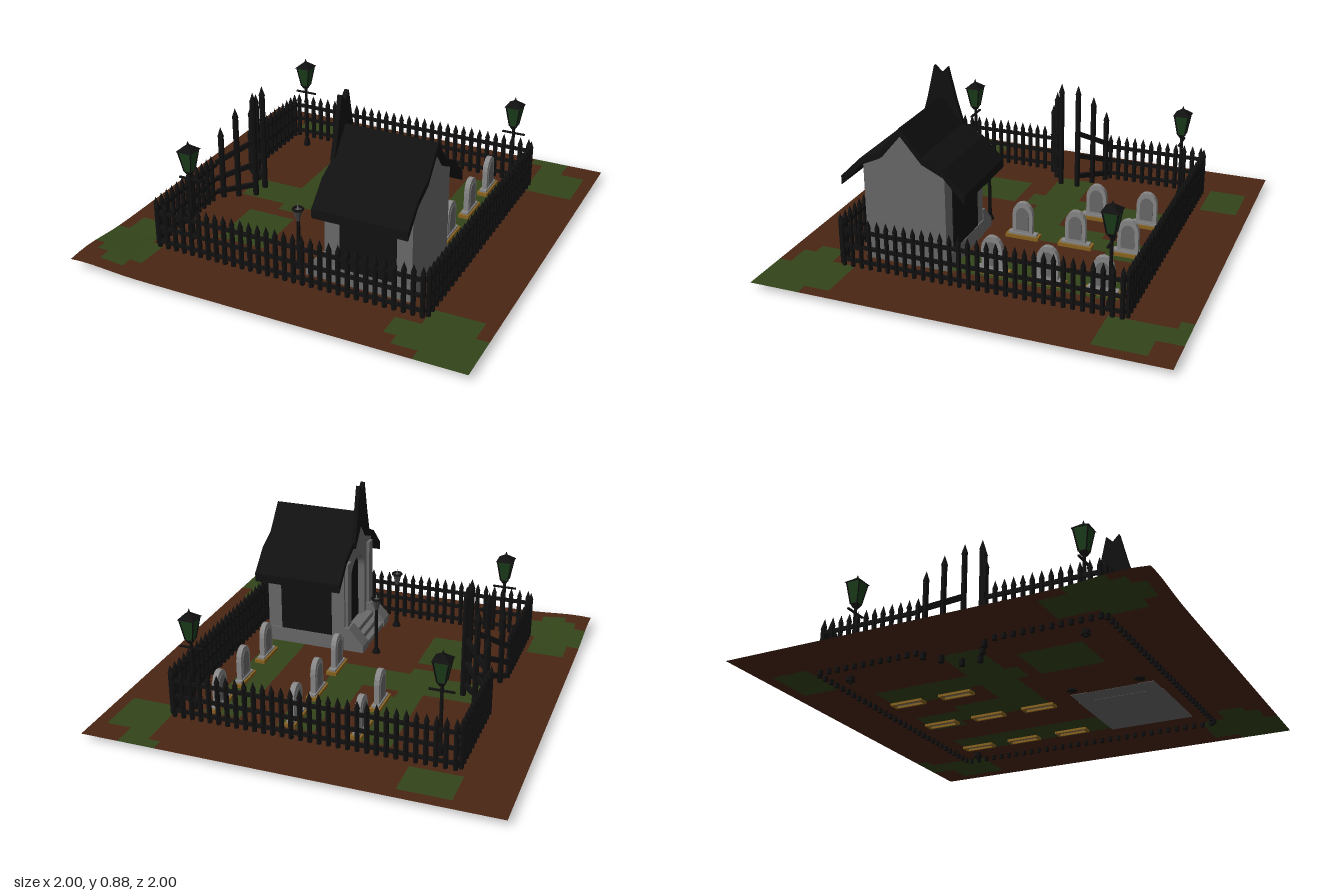
import * as THREE from 'three';
import { mergeGeometries } from 'three/addons/utils/BufferGeometryUtils.js';

const mat = (color, side = THREE.FrontSide) =>
  new THREE.MeshStandardMaterial({ color, side, flatShading: true });
const iron = mat(0x111111), stone = mat(0x6a6a6a), paleStone = mat(0x888888);
const gold = mat(0x8a6420), glass = mat(0x1c3f1c);
const soil = mat(0x4a2614, THREE.DoubleSide), grass = mat(0x33451a, THREE.DoubleSide);

function add(parent, name, geometry, material, x = 0, y = 0, z = 0) {
  const mesh = new THREE.Mesh(geometry, material);
  mesh.name = name;
  mesh.position.set(x, y, z);
  parent.add(mesh);
  return mesh;
}
function group(parent, name, x = 0, y = 0, z = 0) {
  const g = new THREE.Group();
  g.name = name;
  g.position.set(x, y, z);
  parent.add(g);
  return g;
}
const box = (w, h, d) => new THREE.BoxGeometry(w, h, d);

// Outline in (z, y), symmetric about z = 0, extruded along +x from x0
function crossSection(points, x0, depth, holes = []) {
  const shape = new THREE.Shape(points.map(([z, y]) => new THREE.Vector2(-z, y)));
  shape.holes.push(...holes);
  return new THREE.ExtrudeGeometry(shape, { depth, bevelEnabled: false, curveSegments: 8 })
    .rotateY(Math.PI / 2).translate(x0, 0, 0);
}
// Mirrors a half outline running from the centre outwards
const mirror = half => [...half, ...half.slice().reverse().filter(p => p[0] > 0).map(([z, y]) => [-z, y])];

// Bar between two points
function bar(a, b, size) {
  const d = new THREE.Vector3().subVectors(b, a);
  const m = new THREE.Matrix4().lookAt(b, a, new THREE.Vector3(0, 1, 0));
  m.setPosition(a.clone().addScaledVector(d, 0.5));
  return box(size * 0.7, size, d.length()).applyMatrix4(m);
}
// Pointed upright
function spike(x, z, base, top, r) {
  const tip = r * 3.5, h = top - tip - base;
  return mergeGeometries([
    new THREE.CylinderGeometry(r, r, h, 6).translate(x, base + h / 2, z),
    new THREE.ConeGeometry(r * 1.15, tip, 6).translate(x, top - tip / 2, z),
  ]);
}

// Ground: a 32 x 32 grid whose cells are either soil or grass
function addGround(root) {
  const lawns = [
    [-0.75, -0.5, -0.94, -0.75], [0.62, 0.83, -1, -0.94], [0.69, 0.83, -0.94, -0.88],
    [0.69, 0.94, -0.88, -0.63], [-0.38, -0.19, -0.63, -0.38], [-0.38, -0.25, -0.38, 0.12],
    [-0.25, -0.19, -0.38, -0.19], [-0.63, 0.13, -0.13, 0.06], [0, 0.19, -0.63, -0.44],
    [0, 0.13, -0.44, 0.06], [-0.06, 0, -0.38, 0.06], [0.38, 0.56, -0.63, 0.25],
    [-0.5, -0.25, 0.19, 0.5], [-1, -0.75, 0.63, 0.81], [-0.94, -0.75, 0.5, 0.63],
    [-0.94, -0.69, 0.69, 0.88], [-0.88, -0.75, 0.88, 0.94], [0.56, 1, 0.75, 0.88],
    [0.69, 0.94, 0.62, 0.75], [0.62, 1, 0.88, 0.94], [0.75, 1, 0.94, 1],
  ];
  const n = 32, step = 2 / n;
  const height = (x, z) => 0.032 + 0.025 * Math.exp(-((x + 0.92) ** 2 + (z - 0.88) ** 2) / 0.03);
  const cells = { soil: [], grass: [] };
  for (let i = 0; i < n; i++) for (let j = 0; j < n; j++) {
    const x = -1 + i * step, z = -1 + j * step, cx = x + step / 2, cz = z + step / 2;
    const green = lawns.some(([a, b, c, d]) => cx > a && cx < b && cz > c && cz < d);
    const p = (u, v) => [u, height(u, v), v];
    const a = p(x, z), b = p(x, z + step), c = p(x + step, z + step), d = p(x + step, z);
    (green ? cells.grass : cells.soil).push(...a, ...b, ...c, ...a, ...c, ...d);
  }
  for (const [name, m] of [['soil', soil], ['grass', grass]]) {
    const geo = new THREE.BufferGeometry();
    geo.setAttribute('position', new THREE.Float32BufferAttribute(cells[name], 3));
    geo.computeVertexNormals();
    add(root, name, geo, m);
  }
}

// Picket fence around the yard, open on the -x side
function addFence(root) {
  const path = [[-0.72, -0.19], [-0.72, -0.69], [-0.7, -0.71], [0.67, -0.71], [0.69, -0.69],
    [0.69, 0.68], [0.67, 0.7], [-0.7, 0.7], [-0.72, 0.68], [-0.72, 0.15]];
  const pickets = [], rails = [];
  for (let i = 0; i + 1 < path.length; i++) {
    const [ax, az] = path[i], [bx, bz] = path[i + 1];
    const count = Math.max(1, Math.round(Math.hypot(bx - ax, bz - az) / 0.0455));
    for (let k = 0; k < count; k++) {
      const t = k / count;
      pickets.push(spike(ax + (bx - ax) * t, az + (bz - az) * t, 0.01, 0.29, 0.012));
    }
    for (const y of [0.065, 0.14, 0.22])
      rails.push(bar(new THREE.Vector3(ax, y, az), new THREE.Vector3(bx, y, bz), 0.018));
  }
  const fence = group(root, 'fence');
  add(fence, 'pickets', mergeGeometries(pickets), iron);
  add(fence, 'rails', mergeGeometries(rails), iron);

  // Two open gate leaves with rising posts and sloping rails
  for (const [z0, z1] of [[-0.19, -0.05], [0.15, 0.035]]) {
    const gate = group(root, 'gateLeaf'), posts = [], bars = [];
    [[0.15, 0.43], [0.53, 0.53], [0.97, 0.61]].forEach(([t, top]) =>
      posts.push(spike(-0.72 + 0.17 * t, z0 + (z1 - z0) * t, 0, top, 0.015)));
    for (const [y0, y1] of [[0.065, 0.09], [0.14, 0.21], [0.23, 0.34]])
      bars.push(bar(new THREE.Vector3(-0.72, y0, z0), new THREE.Vector3(-0.555, y1, z1), 0.025));
    add(gate, 'gatePosts', mergeGeometries(posts), iron);
    add(gate, 'gateRails', mergeGeometries(bars), iron);
  }
}

// Square tapered lantern on a thin pole
function addLamp(root, x, z) {
  const lamp = group(root, 'streetLamp', x, 0, z);
  const square = (top, bottom, h) =>
    new THREE.CylinderGeometry(top * Math.SQRT1_2, bottom * Math.SQRT1_2, h, 4).rotateY(Math.PI / 4);
  add(lamp, 'lampPole', new THREE.CylinderGeometry(0.008, 0.01, 0.4, 8), iron, 0, 0.2, 0);
  add(lamp, 'lampFoot', new THREE.CylinderGeometry(0.014, 0.022, 0.06, 8), iron, 0, 0.04, 0);
  add(lamp, 'crossBar', box(0.12, 0.008, 0.01), iron, 0, 0.355, 0);
  add(lamp, 'lanternBase', square(0.04, 0.02, 0.02), iron, 0, 0.39, 0);
  add(lamp, 'lanternGlass', square(0.072, 0.036, 0.11), glass, 0, 0.455, 0);
  add(lamp, 'lanternRoof', square(0.012, 0.086, 0.03), iron, 0, 0.522, 0);
  add(lamp, 'lanternTip', new THREE.ConeGeometry(0.008, 0.022, 6), iron, 0, 0.545, 0);
  for (const sx of [-1, 1]) for (const sz of [-1, 1])
    add(lamp, 'lanternFrame', bar(new THREE.Vector3(sx * 0.018, 0.4, sz * 0.018),
      new THREE.Vector3(sx * 0.036, 0.51, sz * 0.036), 0.007), iron);
}

// Arched headstone in a gilded kerb
function addGrave(root, x, z) {
  const grave = group(root, 'grave', x, 0, z);
  for (const s of [-1, 1]) {
    add(grave, 'kerbSide', box(0.01, 0.03, 0.17), gold, s * 0.022, 0.035, 0);
    add(grave, 'kerbEnd', box(0.054, 0.03, 0.012), gold, 0, 0.035, s * 0.079);
  }
  add(grave, 'plinth', box(0.036, 0.03, 0.146), paleStone, 0, 0.045, 0);
  const half = [[0, 0.225], [0.02, 0.22], [0.037, 0.205], [0.048, 0.185], [0.052, 0.16], [0.052, 0.05]];
  add(grave, 'headstone', crossSection(mirror(half), -0.013, 0.026), paleStone);
  const panel = half.map(([a, y]) => [a * 0.65, 0.135 + (y - 0.135) * 0.7]);
  add(grave, 'headstonePanel', crossSection(mirror(panel), -0.016, 0.032), stone);
}

// Torch stand beside the steps
function addTorch(root, z) {
  const torch = group(root, 'torchStand', -0.01, 0, z);
  add(torch, 'torchFoot', new THREE.CylinderGeometry(0.014, 0.026, 0.03, 8), iron, 0, 0.04, 0);
  add(torch, 'torchPole', new THREE.CylinderGeometry(0.009, 0.011, 0.26, 8), iron, 0, 0.16, 0);
  add(torch, 'torchBowl', new THREE.CylinderGeometry(0.024, 0.01, 0.06, 8, 1, true),
    mat(0x444444, THREE.DoubleSide), 0, 0.31, 0);
  add(torch, 'torchRing', new THREE.TorusGeometry(0.024, 0.006, 5, 10).rotateX(Math.PI / 2), iron, 0, 0.34, 0);
  add(torch, 'torchCore', new THREE.ConeGeometry(0.013, 0.07, 6), stone, 0, 0.335, 0);
}

// Crypt with kinked roof, tall gable crest, arched doorway and steps
function addCrypt(root) {
  const crypt = group(root, 'crypt', 0, 0, 0.405);
  const wall = mirror([[0, 0.7], [0.105, 0.575], [0.207, 0.525], [0.207, 0.03]]);
  add(crypt, 'walls', crossSection(wall, 0.2, 0.38), stone);
  const arch = new THREE.Path();
  arch.moveTo(-0.105, 0.1).lineTo(0.105, 0.1).lineTo(0.105, 0.38);
  arch.absarc(0, 0.38, 0.105, 0, Math.PI, false);
  add(crypt, 'frontWall', crossSection(wall, 0.155, 0.046, [arch]), stone);
  add(crypt, 'doorway', box(0.01, 0.4, 0.22), iron, 0.196, 0.3, 0);

  const top = [[0, 0.735], [0.105, 0.605], [0.21, 0.555], [0.315, 0.45]];
  const under = [[0.315, 0.405], [0.21, 0.52], [0.105, 0.57]];
  const outline = [...top, ...under, [0, 0.695],
    ...under.slice().reverse().map(([z, y]) => [-z, y]),
    ...top.slice(1).reverse().map(([z, y]) => [-z, y])];
  add(crypt, 'roof', crossSection(outline, 0.14, 0.463), iron);
  const crest = [[0, 0.85], [0.035, 0.885], [0.075, 0.72], [0.11, 0.6], [0.1, 0.565], [0, 0.69],
    [-0.1, 0.565], [-0.11, 0.6], [-0.075, 0.72], [-0.035, 0.885]];
  add(crypt, 'gableCrest', crossSection(crest, 0.13, 0.022), iron);

  for (const s of [-1, 1]) {
    add(crypt, 'sidePanel', box(0.28, 0.42, 0.01), iron, 0.365, 0.32, s * 0.207);
    add(crypt, 'sidePlinth', box(0.42, 0.08, 0.016), stone, 0.37, 0.07, s * 0.207);
    add(crypt, 'pilaster', box(0.03, 0.48, 0.055), stone, 0.155, 0.27, s * 0.165);
    // Sloping cheek wall of the steps
    const cheek = new THREE.Shape([[0.05, 0.03], [0.155, 0.03], [0.155, 0.16], [0.13, 0.16], [0.05, 0.07]]
      .map(p => new THREE.Vector2(...p)));
    add(crypt, 'stepCheek', new THREE.ExtrudeGeometry(cheek, { depth: 0.08, bevelEnabled: false })
      .translate(0, 0, -0.04), stone, 0, 0, s * 0.17);
  }
  for (let i = 0; i < 3; i++)
    add(crypt, 'step', box(0.105 - i * 0.03, 0.028, 0.262), stone, 0.1075 + i * 0.015, 0.045 + i * 0.028, 0);
}

export function createModel() {
  const root = new THREE.Group();
  root.name = 'graveyard';
  addGround(root);
  addFence(root);
  [[-0.6, -0.61], [0.615, -0.61], [-0.6, 0.56]].forEach(([x, z]) => addLamp(root, x, z));
  for (const x of [-0.205, 0.12, 0.512]) for (const z of [-0.545, -0.28, -0.005])
    if (x > 0 || z < -0.1) addGrave(root, x, z);
  addTorch(root, 0.23);
  addTorch(root, 0.57);
  addCrypt(root);
  return root;
}
